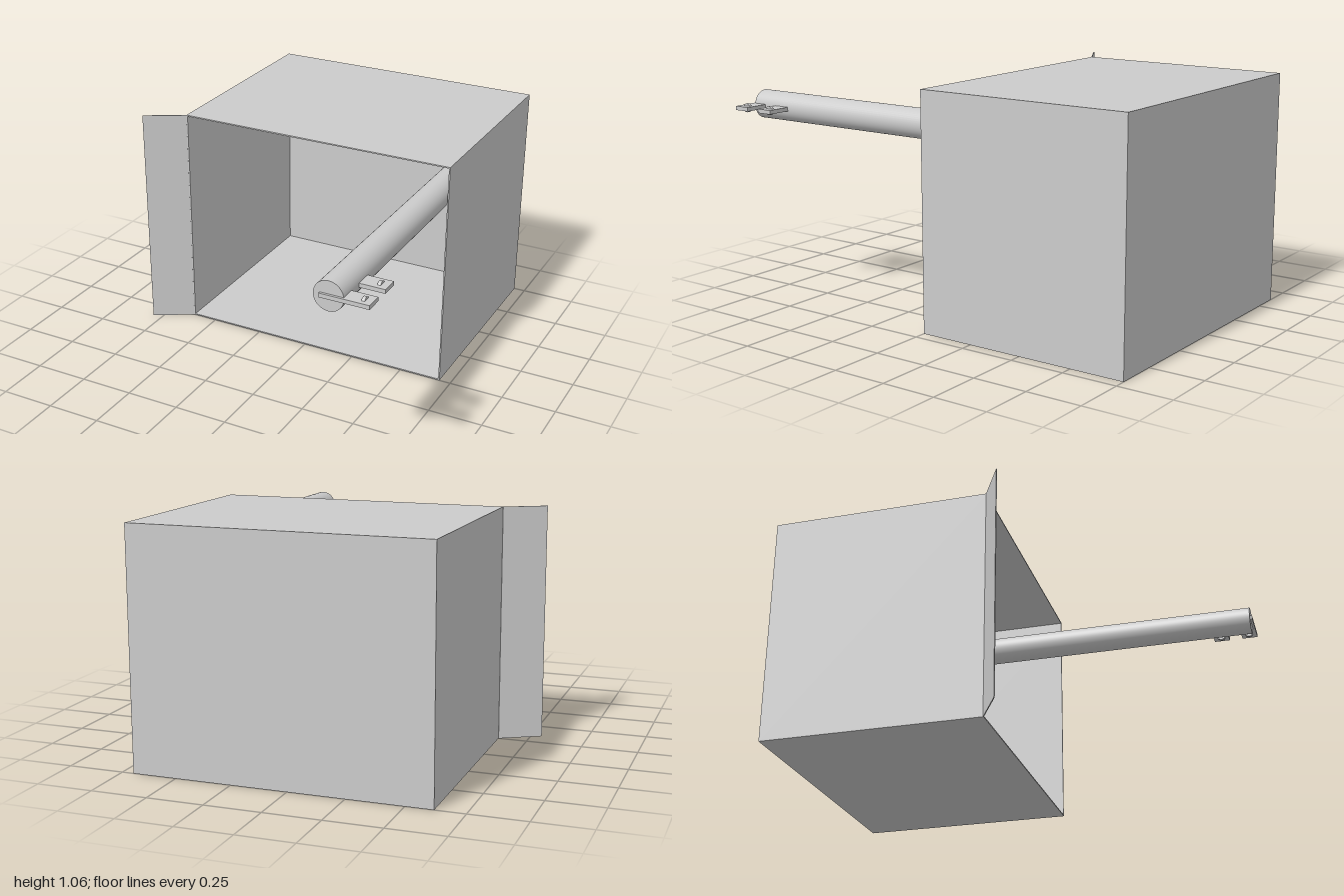
import * as THREE from 'three';

export function createModel() {
  const model = new THREE.Group();
  const mat = new THREE.MeshStandardMaterial({ color: 0xcccccc, side: THREE.DoubleSide });

  function add(name, geometry, x, y, z, parent = model) {
    const mesh = new THREE.Mesh(geometry, mat);
    mesh.name = name;
    mesh.position.set(x, y, z);
    parent.add(mesh);
    return mesh;
  }
  const box = (w, h, d) => new THREE.BoxGeometry(w, h, d);

  // Thin-walled housing, open at the front
  const x0 = -0.62, x1 = 0.697, H = 1.06, t = 0.006;
  const W = x1 - x0, cx = (x0 + x1) / 2;
  const housing = new THREE.Group();
  housing.name = 'housing';
  model.add(housing);
  add('floor', box(W, t, 1), cx, t / 2, -0.5, housing);
  add('roof', box(W, t, 1), cx, H - t / 2, -0.5, housing);
  add('backWall', box(W, H - 2 * t, t), cx, H / 2, -1 + t / 2, housing);
  for (const [name, x] of [['rightWall', x0 + t / 2], ['leftWall', x1 - t / 2]]) {
    add(name, box(t, H - 2 * t, 1 - t), x, H / 2, -0.5 + t / 2, housing);
  }

  // Flap folded outward from the front edge
  const dx = -0.177, dz = 0.1;
  const flap = add('flap', box(Math.hypot(dx, dz), H, 0.004), x0 + dx / 2, H / 2, dz / 2);
  flap.rotation.y = Math.atan2(dz, -dx);

  // Round bar running out of the housing from the back wall
  const barX = 0.62, barY = 0.9, barEnd = 0.988, barStart = -1 + t;
  const bar = add('bar', new THREE.CylinderGeometry(0.065, 0.065, barEnd - barStart, 48),
    barX, barY, (barStart + barEnd) / 2);
  bar.rotation.x = Math.PI / 2;

  // Two tabs set into the bar, each with a small disc through it
  for (const z of [0.82, 0.96]) {
    const bracket = new THREE.Group();
    bracket.name = 'bracket';
    bracket.position.set(0, barY, z);
    model.add(bracket);
    add('tab', box(0.212, 0.018, 0.076), 0.689, 0, 0, bracket);
    const disc = add('disc', new THREE.CylinderGeometry(0.02, 0.02, 0.014, 20), 0.758, 0, 0, bracket);
    disc.rotation.z = Math.PI / 2;
  }

  return model;
}
